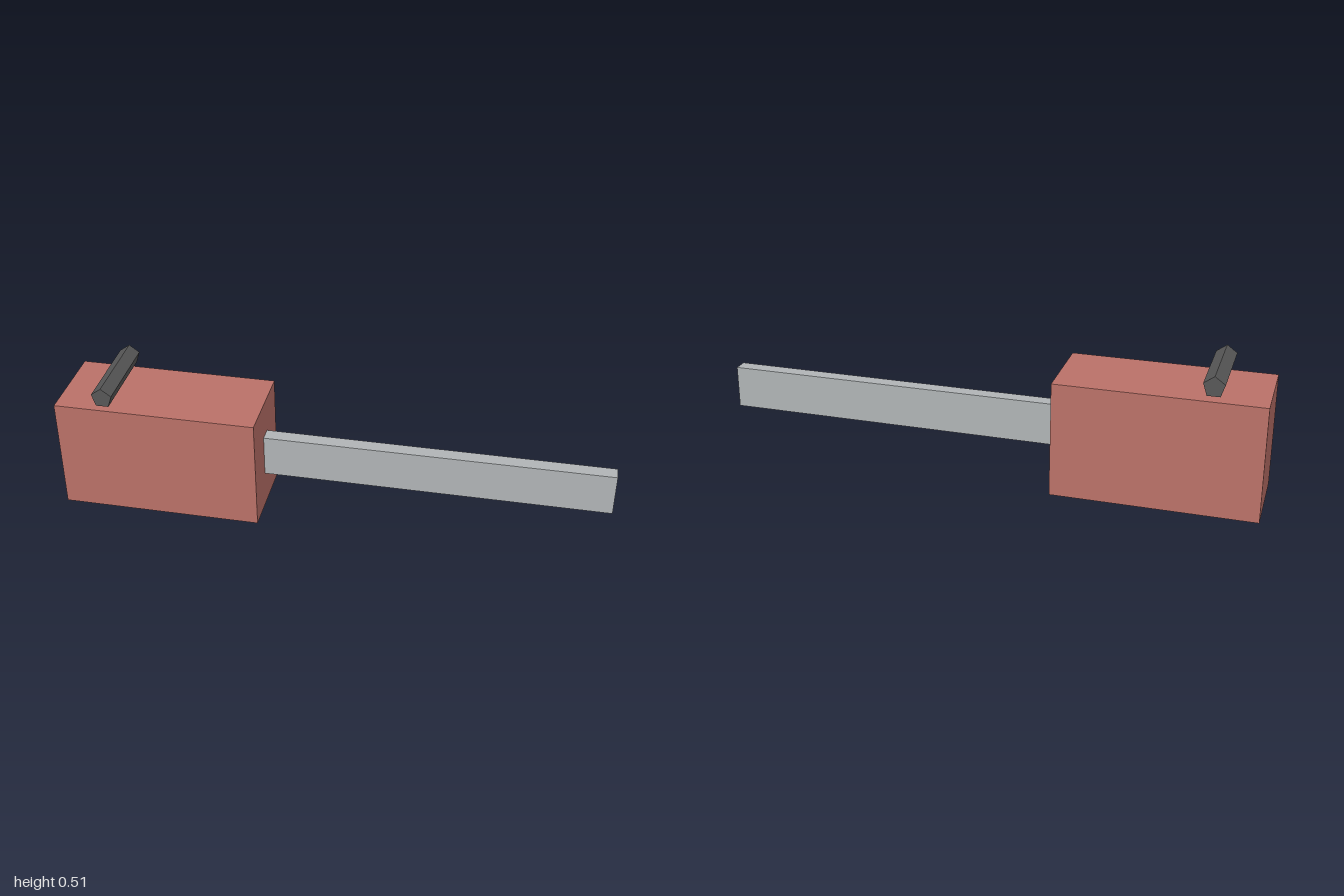
import * as THREE from 'three';

const paint = (name, color) => {
  const m = new THREE.MeshStandardMaterial({ color });
  m.name = name;
  return m;
};

export function createModel() {
  const model = new THREE.Group();
  const red = paint('dusty red', 0xba7168);
  const steel = paint('steel grey', 0xb0b4b6);
  const dark = paint('dark grey', 0x575757);
  dark.flatShading = true;

  const add = (name, geometry, material, x, y, z) => {
    const mesh = new THREE.Mesh(geometry, material);
    mesh.name = name;
    mesh.position.set(x, y, z);
    model.add(mesh);
    return mesh;
  };

  // Motor housing
  add('housing', new THREE.BoxGeometry(0.735, 0.422, 0.316), red, -0.6325, 0.211, 0);

  // Long flat bar, starting just inside the housing
  add('bar', new THREE.BoxGeometry(1.275, 0.157, 0.053), steel, 0.3625, 0.2115, 0);

  // Five-sided grip across the housing, one edge pointing up
  const grip = add('grip', new THREE.CylinderGeometry(0.039, 0.039, 0.316, 5), dark, -0.816, 0.474, 0);
  grip.rotation.x = -Math.PI / 2;

  return model;
}
